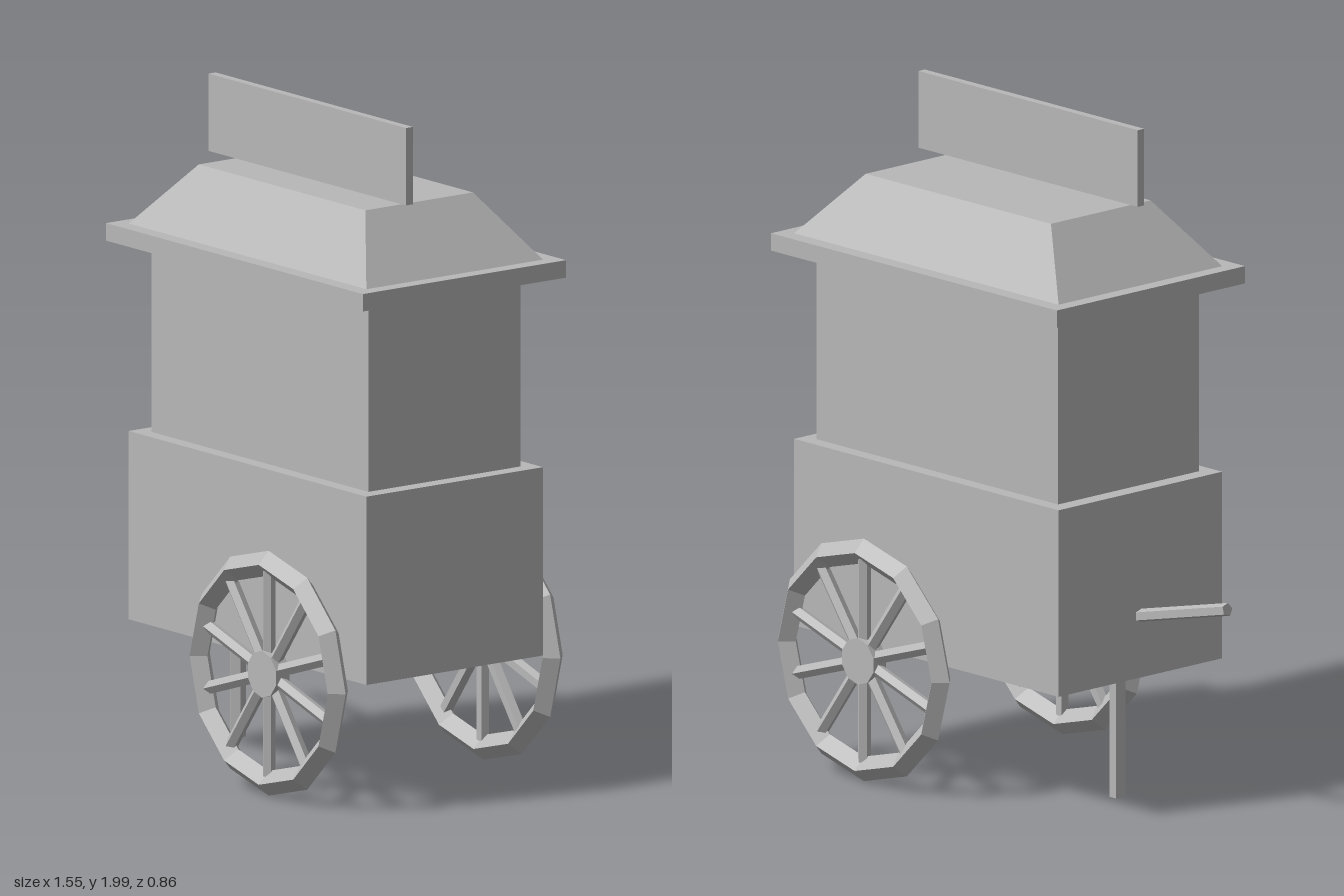
import * as THREE from 'three';

export function createModel() {
  const cart = new THREE.Group();
  cart.name = 'foodCart';
  const grey = new THREE.MeshStandardMaterial({ color: 0xb8b8b8 });
  grey.name = 'plain grey';
  grey.flatShading = true;

  const add = (name, geometry, parent = cart) => {
    const mesh = new THREE.Mesh(geometry, grey);
    mesh.name = name;
    parent.add(mesh);
    return mesh;
  };

  // Box given by its extents
  const box = (name, x0, x1, y0, y1, z0, z1) => {
    const mesh = add(name, new THREE.BoxGeometry(x1 - x0, y1 - y0, z1 - z0));
    mesh.position.set((x0 + x1) / 2, (y0 + y1) / 2, (z0 + z1) / 2);
    return mesh;
  };

  // Five-sided rod between two points
  const rod = (name, from, to, radius, parent = cart) => {
    const a = new THREE.Vector3(...from), b = new THREE.Vector3(...to);
    const dir = b.clone().sub(a);
    const mesh = add(name, new THREE.CylinderGeometry(radius, radius, dir.length(), 5), parent);
    mesh.position.copy(a).add(b).multiplyScalar(0.5);
    mesh.quaternion.setFromUnitVectors(new THREE.Vector3(0, 1, 0), dir.normalize());
    return mesh;
  };

  // Body
  box('lowerBody', -0.4, 0.725, 0.39, 0.95, -0.325, 0.325);
  box('upperBody', -0.35, 0.677, 0.95, 1.515, -0.28, 0.28);
  box('eaves', -0.445, 0.771, 1.515, 1.567, -0.374, 0.374);

  // Hipped roof: a box with its top narrowed
  const roof = box('roof', -0.4, 0.725, 1.567, 1.755, -0.325, 0.325);
  const p = roof.geometry.attributes.position;
  for (let i = 0; i < p.count; i++) {
    if (p.getY(i) > 0) {
      p.setX(i, Math.sign(p.getX(i)) * 0.394);
      p.setZ(i, Math.sign(p.getZ(i)) * 0.198);
    }
  }
  roof.geometry.computeVertexNormals();

  // Blank sign board above the roof
  box('signBoard', -0.303, 0.63, 1.77, 2.0, 0.08, 0.106);

  // Prop leg and pull handle
  rod('propLeg', [-0.304, 0.015, 0], [-0.304, 0.4, 0], 0.025);
  rod('handle', [-0.772, 0.665, -0.002], [-0.38, 0.572, -0.002], 0.02);

  // Wheels: twelve-sided rim, ten spokes and a hub
  for (const side of [1, -1]) {
    const wheel = new THREE.Group();
    wheel.name = side > 0 ? 'frontWheel' : 'backWheel';
    wheel.position.set(0.353, 0.37, side * 0.395);
    if (side < 0) wheel.rotation.y = Math.PI;
    cart.add(wheel);

    add('rim', new THREE.TorusGeometry(0.327, 0.037, 4, 12), wheel);
    const hub = add('hub', new THREE.CylinderGeometry(0.07, 0.07, 0.05, 10), wheel);
    hub.rotation.x = Math.PI / 2;
    for (let i = 0; i < 10; i++) {
      const a = Math.PI / 2 + (i * Math.PI) / 5;
      const c = Math.cos(a), s = Math.sin(a);
      rod('spoke', [c * 0.05, s * 0.05, 0], [c * 0.305, s * 0.305, 0], 0.02, wheel);
    }
  }
  return cart;
}
